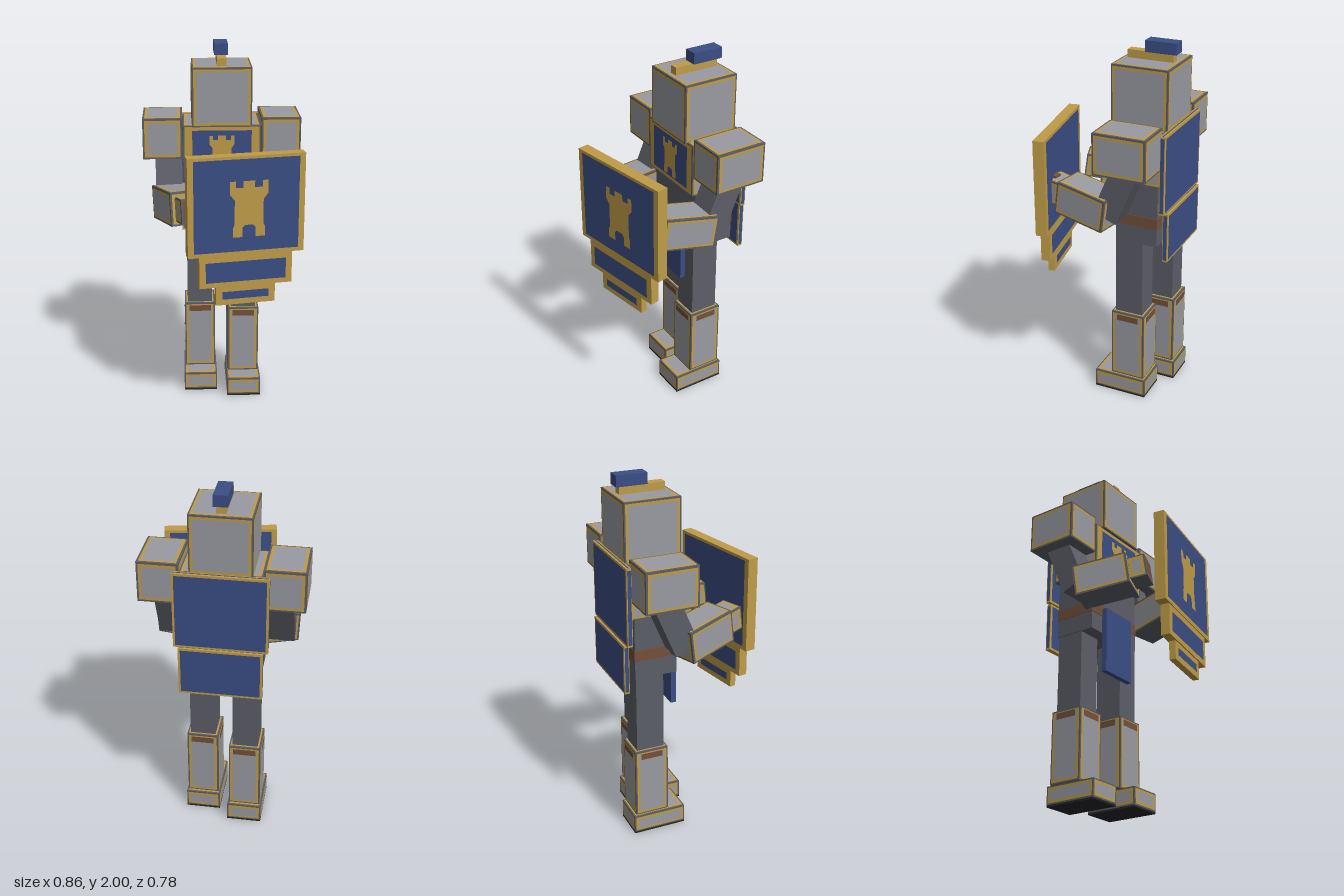
import * as THREE from 'three';

const mat = (name, color) => {
  const m = new THREE.MeshStandardMaterial({ color });
  m.name = name;
  return m;
};

export function createModel() {
  const steel = mat('steel', 0x999ba2);
  const dark = mat('dark iron', 0x5c5e67);
  const gold = mat('gold', 0xbf9c48);
  const blue = mat('blue', 0x3b4e85);
  const brown = mat('leather brown', 0x74503a);
  const black = mat('sole black', 0x26262a);

  const model = new THREE.Group();
  model.name = 'knight';

  const FACES = {
    front: [0, 0], back: [0, Math.PI], left: [0, Math.PI / 2],
    right: [0, -Math.PI / 2], top: [-Math.PI / 2, 0],
  };
  const ALL = Object.keys(FACES);
  const SIDES = ['front', 'back', 'left', 'right'];

  // Box with its size kept for placing painted faces
  const box = (parent, name, m, [w, h, d], [x, y, z]) => {
    const mesh = new THREE.Mesh(new THREE.BoxGeometry(w, h, d), m);
    mesh.name = name;
    mesh.position.set(x, y, z);
    mesh.userData.size = [w, h, d];
    parent.add(mesh);
    return mesh;
  };
  // Box given by its min and max corners
  const span = (name, m, x0, x1, y0, y1, z0, z1) => box(model, name, m,
    [x1 - x0, y1 - y0, z1 - z0], [(x0 + x1) / 2, (y0 + y1) / 2, (z0 + z1) / 2]);

  // Width, height and half depth of a box as seen from one face
  const faceSize = (target, face) => {
    const [w, h, d] = target.userData.size;
    if (face === 'top') return [w, d, h / 2];
    return face === 'left' || face === 'right' ? [d, h, w / 2] : [w, h, d / 2];
  };
  // Put a flat geometry on one face of a box
  const paint = (target, name, m, geometry, face, x, y, lift) => {
    const mesh = new THREE.Mesh(geometry, m);
    mesh.name = name;
    mesh.rotation.set(FACES[face][0], FACES[face][1], 0);
    mesh.position.set(x, y, faceSize(target, face)[2] + lift).applyEuler(mesh.rotation);
    target.add(mesh);
  };
  // Inset rectangle on each listed face
  const panel = (target, name, m, faces, ix, iy, lift) => {
    for (const face of faces) {
      const [w, h] = faceSize(target, face);
      paint(target, name, m, new THREE.PlaneGeometry(w - 2 * ix, h - 2 * iy), face, 0, 0, lift);
    }
  };
  // Steel plates with a gold trim on a dark box
  const armour = (target, edge = 0.008, trim = 0.014, faces = ALL) => {
    panel(target, 'goldTrim', gold, faces, edge, edge, 0.0015);
    panel(target, 'steelPlate', steel, faces, edge + trim, edge + trim, 0.003);
    return target;
  };

  // Heraldic tower, drawn around its centre
  const tower = (s) => {
    const half = [[0.035, -0.15], [0.085, -0.15], [0.085, -0.1], [0.076, -0.08],
      [0.076, 0.05], [0.1, 0.08], [0.1, 0.15], [0.07, 0.15], [0.07, 0.115],
      [0.03, 0.115], [0.03, 0.15]];
    const mirrored = half.map(([x, y]) => [-x, y]).reverse();
    const pts = [...half, ...mirrored, [-0.035, -0.1], [-0.02, -0.085], [0.02, -0.085], [0.035, -0.1]];
    return new THREE.ShapeGeometry(new THREE.Shape(pts.map(([x, y]) => new THREE.Vector2(x * s, y * s))));
  };

  // Helmet and crest
  armour(span('helmet', dark, -0.16, 0.16, 1.578, 1.895, -0.35, -0.04));
  span('crestBase', gold, -0.025, 0.025, 1.89, 1.94, -0.32, -0.07);
  span('crest', blue, -0.037, 0.037, 1.94, 2, -0.34, -0.17);

  // Breastplate with blue front
  const chest = armour(span('breastplate', dark, -0.21, 0.21, 1.29, 1.582, -0.345, -0.055),
    0.008, 0.014, ['back', 'left', 'right', 'top']);
  panel(chest, 'chestTrim', gold, ['front'], 0.008, 0.006, 0.0015);
  panel(chest, 'chestCloth', blue, ['front'], 0.05, 0.026, 0.003);
  paint(chest, 'chestTower', gold, tower(0.68), 'front', 0, -0.01, 0.0045);

  // Waist, belt and cloth
  span('waist', dark, -0.2, 0.2, 0.95, 1.3, -0.32, -0.085);
  span('belt', brown, -0.203, 0.203, 1.05, 1.11, -0.323, -0.082);
  span('tabard', blue, -0.115, 0.115, 0.72, 1.09, -0.08, -0.05);

  // Cape in two hanging pieces
  const cape = [
    span('upperCape', gold, -0.245, 0.245, 1.16, 1.585, -0.375, -0.347),
    span('lowerCape', gold, -0.22, 0.22, 0.885, 1.16, -0.388, -0.36),
  ];
  for (const piece of cape) {
    panel(piece, 'capeCloth', blue, ['front', 'back'], 0.012, 0.012, 0.0015);
    panel(piece, 'capeEdge', blue, ['left', 'right', 'top'], 0.004, 0.01, 0.001);
  }

  // Legs: the left one stands a step forward
  for (const [side, cx, cz] of [['left', 0.122, -0.16], ['right', -0.124, -0.237]]) {
    span(side + 'Leg', dark, cx - 0.07, cx + 0.07, 0.09, 0.96, cz - 0.078, cz + 0.078);
    const shin = armour(span(side + 'Greave', dark, cx - 0.087, cx + 0.087, 0.115, 0.512, cz - 0.095, cz + 0.095));
    for (const face of SIDES) {
      paint(shin, 'greaveStrap', brown, new THREE.PlaneGeometry(0.125, 0.035), face, 0, 0.167, 0.0045);
    }
    const z0 = cz - 0.108;
    armour(span(side + 'Boot', dark, cx - 0.095, cx + 0.095, 0.01, 0.108, z0, z0 + 0.3));
    span(side + 'Sole', black, cx - 0.095, cx + 0.095, 0, 0.01, z0, z0 + 0.3);
  }

  // Arms, bent forward at the elbow
  const arms = [
    { side: 'left', s: 1, x: 0.273, yaw: -0.165 },
    { side: 'right', s: -1, x: -0.245, yaw: 0.344 },
  ];
  for (const { side, s, x, yaw } of arms) {
    armour(box(model, side + 'Pauldron', dark, [0.213, 0.222, 0.287], [s * 0.32, 1.51, -0.203]), 0.01, 0.015);
    const upper = box(model, side + 'UpperArm', dark, [0.145, 0.32, 0.14], [s * 0.288, 1.29, -0.155]);
    upper.rotation.x = -0.4;
    const fore = armour(box(model, side + 'Forearm', dark, [0.178, 0.18, 0.3], [x, 1.175, 0.035]), 0.01, 0.013);
    fore.rotation.set(-0.14, yaw, 0, 'YXZ');
    const hand = armour(box(fore, side + 'Gauntlet', dark, [0.128, 0.13, 0.1], [0, 0, 0.195]),
      0.008, 0.018, ['left', 'right', 'top']);
    if (s < 0) panel(hand, 'palm', brown, ['front'], 0.012, 0.012, 0.002);
    else box(hand, 'shieldGrip', brown, [0.045, 0.16, 0.042], [0.01, 0, 0.03]);
  }

  // Stepped shield, turned a little outward
  const shield = new THREE.Group();
  shield.name = 'shield';
  shield.position.set(0.105, 0, 0.304);
  shield.rotation.y = THREE.MathUtils.degToRad(10);
  model.add(shield);
  const tiers = [
    // name, width, bottom, top, depth, blue width, blue bottom, blue top
    ['shieldBody', 0.617, 0.99, 1.52, 0.06, 0.555, 1.012, 1.505],
    ['shieldMiddle', 0.497, 0.815, 0.99, 0.05, 0.43, 0.843, 0.955],
    ['shieldTip', 0.32, 0.71, 0.815, 0.036, 0.25, 0.742, 0.785],
  ];
  for (const [name, w, y0, y1, d, bw, b0, b1] of tiers) {
    const cy = (y0 + y1) / 2;
    const tier = box(shield, name, gold, [w, y1 - y0, d], [0, cy, 0]);
    for (const face of ['front', 'back']) {
      paint(tier, 'shieldField', blue, new THREE.PlaneGeometry(bw, b1 - b0), face, 0, (b0 + b1) / 2 - cy, 0.002);
    }
    if (name === 'shieldBody') paint(tier, 'shieldTower', gold, tower(1), 'front', 0.012, 1.24 - cy, 0.004);
  }

  return model;
}
